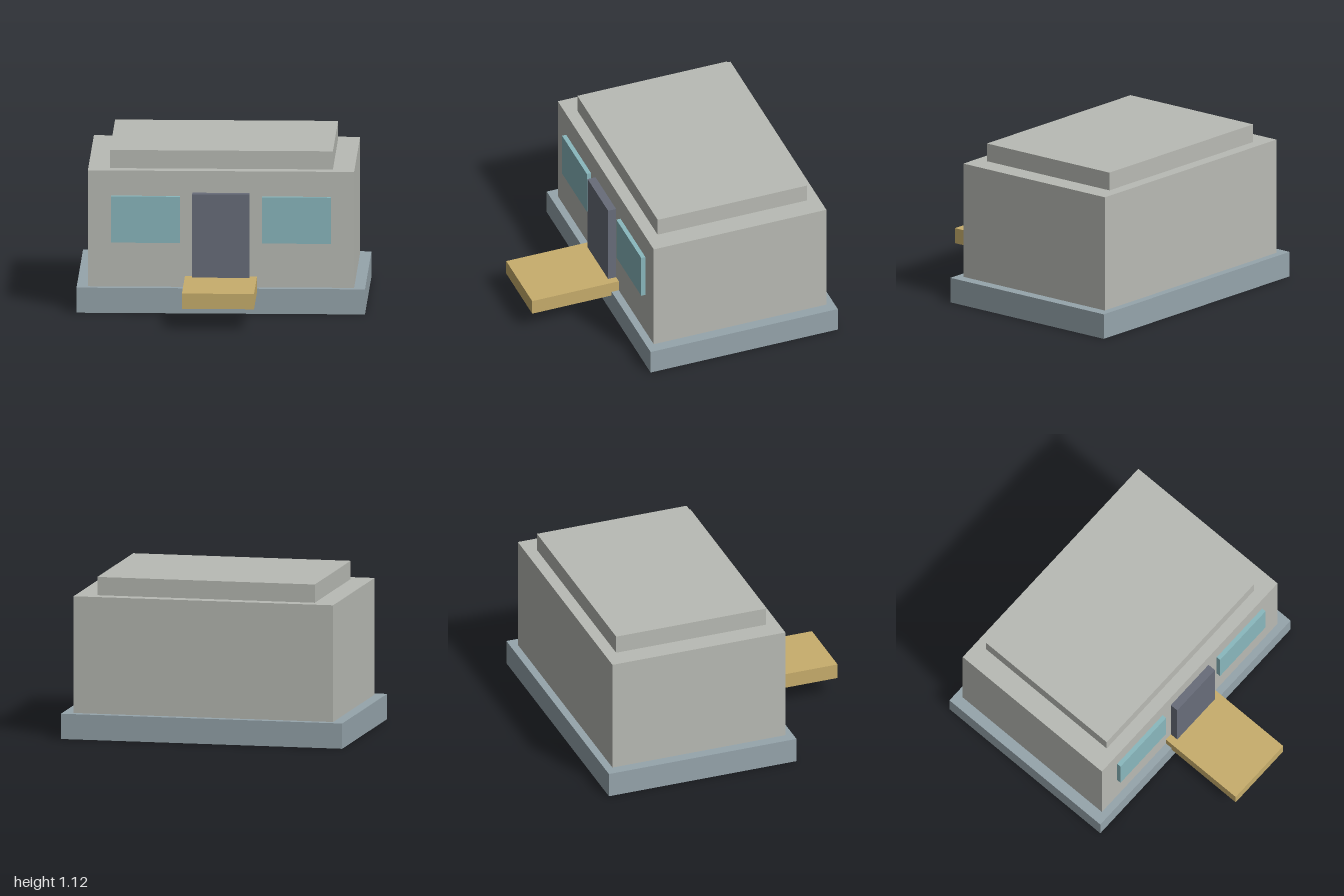
import * as THREE from 'three';

const material = (name, color) => {
  const m = new THREE.MeshStandardMaterial({ color });
  m.name = name;
  return m;
};

export function createModel() {
  const group = new THREE.Group();
  group.name = 'smallBuilding';

  const wall = material('warm grey wall', 0xb9bbb5);
  const stone = material('blue grey foundation', 0x96a5ac);
  const slate = material('dark slate door', 0x686d7a);
  const glass = material('teal glass', 0x8ab8be);
  const wood = material('tan wood', 0xc8ae6c);

  // Box given by its extents on each axis
  const addBox = (name, mat, [x0, x1], [y0, y1], [z0, z1]) => {
    const mesh = new THREE.Mesh(new THREE.BoxGeometry(x1 - x0, y1 - y0, z1 - z0), mat);
    mesh.position.set((x0 + x1) / 2, (y0 + y1) / 2, (z0 + z1) / 2);
    mesh.name = name;
    group.add(mesh);
  };

  // Stacked masses: plinth, main block, raised roof
  addBox('foundation', stone, [-1, 1], [0, 0.177], [-0.99, 0.4]);
  addBox('mainBlock', wall, [-0.923, 0.923], [0.177, 0.995], [-0.935, 0.347]);
  addBox('roofBlock', wall, [-0.773, 0.773], [0.995, 1.123], [-0.85, 0.26]);

  // Entrance
  addBox('door', slate, [-0.198, 0.198], [0.123, 0.842], [0.33, 0.406]);
  addBox('entranceDeck', wood, [-0.25, 0.25], [0.146, 0.254], [0.345, 0.99]);

  // Mirrored windows
  addBox('leftWindow', glass, [0.284, 0.762], [0.492, 0.818], [0.33, 0.378]);
  addBox('rightWindow', glass, [-0.762, -0.284], [0.492, 0.818], [0.33, 0.378]);

  return group;
}
